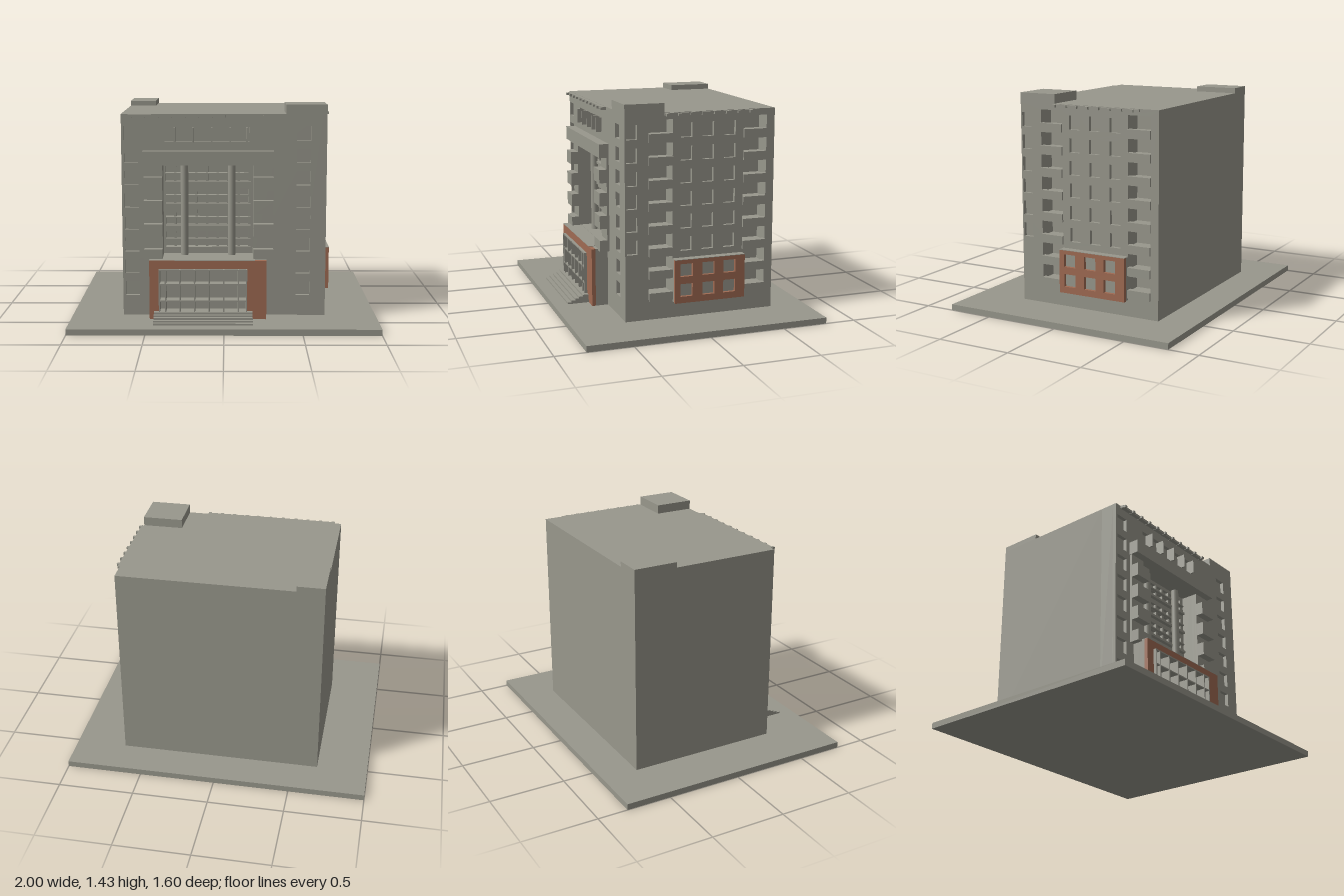
import * as THREE from 'three';

const stone = new THREE.MeshStandardMaterial({ color: 0x98978c });
stone.name = 'grey stone';
const brick = new THREE.MeshStandardMaterial({ color: 0xa06b53 });
brick.name = 'terracotta cladding';

export function createModel() {
  const model = new THREE.Group();
  model.name = 'officeBuilding';

  // Box given by its limits on each axis
  function box(name, x0, x1, y0, y1, z0, z1, mat = stone) {
    const mesh = new THREE.Mesh(new THREE.BoxGeometry(x1 - x0, y1 - y0, z1 - z0), mat);
    mesh.position.set((x0 + x1) / 2, (y0 + y1) / 2, (z0 + z1) / 2);
    mesh.name = name;
    model.add(mesh);
    return mesh;
  }

  // Flat wall with rectangular openings; each rectangle is [u0, u1, y0, y1]
  function wallGeometry([u0, u1, y0, y1], holes, depth) {
    const corners = (a, b, c, d) => [[a, c], [b, c], [b, d], [a, d]].map(p => new THREE.Vector2(...p));
    const shape = new THREE.Shape(corners(u0, u1, y0, y1));
    for (const h of holes) shape.holes.push(new THREE.Path(corners(...h).reverse()));
    return new THREE.ExtrudeGeometry(shape, { depth, bevelEnabled: false });
  }
  function frontWall(name, rect, holes, z0, z1, mat = stone) {
    const mesh = new THREE.Mesh(wallGeometry(rect, holes, z1 - z0), mat);
    mesh.position.z = z0;
    mesh.name = name;
    model.add(mesh);
  }
  // Side walls take z limits and run across the +x face
  function sideWall(name, rect, holes, x0, x1, mat = stone) {
    const flip = ([a, b, c, d]) => [-b, -a, c, d];
    const mesh = new THREE.Mesh(wallGeometry(flip(rect), holes.map(flip), x1 - x0), mat);
    mesh.rotation.y = Math.PI / 2;
    mesh.position.x = x0;
    mesh.name = name;
    model.add(mesh);
  }

  const floor = 0.1465;

  // Ground slab, core and roof blocks
  box('groundSlab', -1, 1, 0, 0.04, -0.8, 0.8);
  box('buildingCore', -0.665, 0.545, 0.04, 1.37, -0.56, 0.33);
  box('roofTower', 0.4, 0.665, 1.37, 1.43, 0.19, 0.45);
  box('roofHut', -0.665, -0.485, 1.37, 1.405, -0.56, -0.27);

  // Front wall: window columns, upper window strip and deep central bay
  const bay = [-0.4, 0.19, 0.435, 1.045];
  const frontHoles = [bay, [-0.385, 0.165, 1.19, 1.285]];
  for (let i = 0; i < 8; i++) {
    const y = 0.175 + i * floor;
    frontHoles.push([-0.648, -0.556, y, y + 0.092], [0.47, 0.562, y, y + 0.092]);
  }
  frontWall('frontInnerWall', [-0.665, 0.64, 0.04, 1.37], [bay], 0.33, 0.425);
  frontWall('frontOuterWall', [-0.665, 0.64, 0.04, 1.37], frontHoles, 0.425, 0.45);
  for (const x of [-0.32, -0.2, -0.08, 0.04, 0.147])
    box('upperWindowFin', x - 0.005, x + 0.005, 1.19, 1.285, 0.425, 0.485);

  // Central bay: paired small windows, ledges and round columns
  const bayHoles = [];
  for (let r = 0; r < 4; r++) {
    const y = 0.485 + r * floor;
    for (let c = 0; c < 8; c++) {
      const x = -0.385 + c * 0.07;
      bayHoles.push([x, x + 0.054, y, y + 0.042], [x, x + 0.054, y + 0.053, y + 0.097]);
    }
    box('bayLedge', -0.385, 0.175, y - 0.018, y - 0.003, 0.34, 0.375);
    box('bayTransom', -0.385, 0.175, y + 0.044, y + 0.051, 0.34, 0.37);
  }
  frontWall('bayWindowWall', bay, bayHoles, 0.33, 0.35);
  for (const x of [-0.26, 0.05]) {
    const column = new THREE.Mesh(new THREE.CylinderGeometry(0.025, 0.025, 0.6, 20), stone);
    column.position.set(x, 0.735, 0.385);
    column.name = 'bayColumn';
    model.add(column);
  }

  // Bay surround: lintel and stacked balconies on both sides
  box('bayLintel', -0.525, 0.32, 1.045, 1.135, 0.45, 0.515);
  for (const [x0, x1] of [[-0.52, -0.4], [0.19, 0.32]]) {
    box('bayPier', x0, x1, 0.42, 1.045, 0.45, 0.465);
    for (let i = 0; i < 4; i++) {
      const y = 0.42 + i * 0.153;
      box('bayBalcony', x0, x1, y, y + (i ? 0.088 : 0.075), 0.45, 0.515);
    }
  }

  // Entrance portal with recessed glazing grid
  const portal = [-0.485, 0.275, 0.04, 0.43];
  const opening = [-0.425, 0.15, 0.08, 0.375];
  box('portalBack', -0.485, 0.275, 0.04, 0.43, 0.45, 0.5);
  frontWall('portalBlock', portal, [opening], 0.5, 0.535);
  frontWall('portalFrame', portal, [opening], 0.535, 0.56, brick);
  box('portalCap', -0.485, 0.2, 0.43, 0.433, 0.45, 0.56);
  for (const x of [-0.42, -0.38, -0.286, -0.192, -0.097, -0.002, 0.093, 0.146])
    box('entranceMullion', x - 0.004, x + 0.004, 0.08, 0.375, 0.5, 0.58);
  for (const y of [0.165, 0.275, 0.371])
    box('entranceTransom', -0.424, 0.149, y - 0.004, y + 0.004, 0.5, 0.578);

  // Entrance steps
  for (let i = 0; i < 5; i++)
    box('entranceStep', -0.455, 0.185, 0.04 + i * 0.011, 0.051 + i * 0.011, 0.56, 0.705 - i * 0.026);
  box('entranceFloor', -0.424, 0.149, 0.08, 0.095, 0.5, 0.56);

  // Side wall: balcony recesses, three window columns and corner windows
  const balconyHoles = [], sideHoles = [];
  const balconyZ = [[0.135, 0.295], [-0.505, -0.345]];
  for (let i = 0; i < 8; i++) {
    const y = 1.23 - i * floor;
    for (const [z0, z1] of balconyZ) {
      balconyHoles.push([z0, z1, y, y + 0.098]);
      box('sideParapet', 0.64, 0.677, y - 0.042, y + 0.012, z0, z1);
    }
    if (i > 5) continue;
    for (const z of [0.005, -0.142, -0.29])
      sideHoles.push([z, z + 0.077, y - 0.02, y + 0.072]);
    sideHoles.push([0.37, 0.44, y - 0.02, y + 0.072]);
  }
  sideWall('sideInnerWall', [-0.56, 0.33, 0.04, 1.37], balconyHoles, 0.545, 0.64);
  sideWall('sideOuterWall', [-0.56, 0.45, 0.04, 1.37], [...balconyHoles, ...sideHoles], 0.64, 0.665);

  // Clad projecting bay on the side
  const cladHoles = [];
  for (const z of [0.015, -0.135, -0.28])
    for (const y of [0.188, 0.32]) cladHoles.push([z, z + 0.084, y, y + 0.084]);
  box('sideBayBlock', 0.665, 0.695, 0.147, 0.428, -0.343, 0.133);
  sideWall('sideBayCladding', [-0.345, 0.135, 0.145, 0.43], cladHoles, 0.695, 0.717, brick);
  box('sideBayCap', 0.665, 0.717, 0.43, 0.433, -0.345, 0.135);

  // Roof-edge rails with small brackets
  box('frontRail', -0.62, 0.27, 1.352, 1.368, 0.45, 0.474);
  for (let i = 0; i < 11; i++) {
    const x = -0.615 + i * 0.0865;
    box('frontBracket', x, x + 0.02, 1.35, 1.366, 0.45, 0.488);
  }
  box('sideRail', 0.665, 0.682, 1.352, 1.368, -0.43, 0.19);
  for (let i = 0; i < 8; i++) {
    const z = 0.168 - i * 0.08;
    box('sideBracket', 0.665, 0.697, 1.35, 1.366, z, z + 0.018);
  }
  return model;
}
